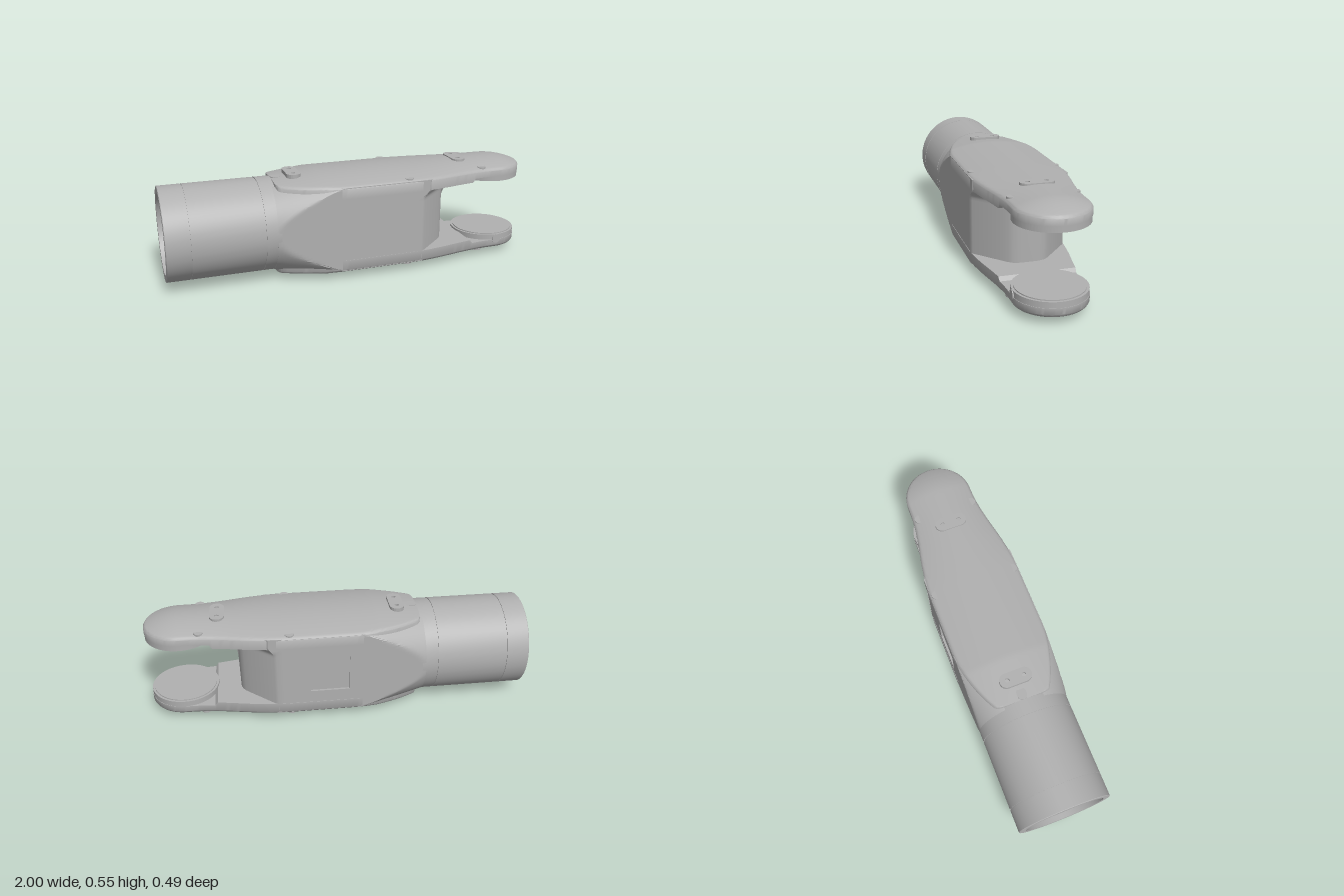
import * as THREE from 'three';
import { toCreasedNormals } from 'three/addons/utils/BufferGeometryUtils.js';

const MID = 0.2725;   // height of the long axis
const TIP = 0.82;     // centre of the rounded arm ends
const HALF = 0.247;   // half width of the housing

const grey = new THREE.MeshStandardMaterial({ color: 0xb0b0b0 });
grey.name = 'metalGrey';

function part(name, geometry, parent, x = 0, y = 0, z = 0) {
  const mesh = new THREE.Mesh(geometry, grey);
  mesh.name = name;
  mesh.position.set(x, y, z);
  parent.add(mesh);
  return mesh;
}

// Skin over closed loops that follow each other along +x, with end caps
function loft(loops) {
  const n = loops[0].length, pos = loops.flat(2), index = [];
  for (let k = 0; k < loops.length - 1; k++) {
    for (let i = 0; i < n; i++) {
      const j = (i + 1) % n;
      const a = k * n + i, b = a + n, d = k * n + j, c = d + n;
      index.push(a, b, c, a, c, d);
    }
  }
  [0, loops.length - 1].forEach((k, end) => {
    const centre = pos.length / 3;
    for (let c = 0; c < 3; c++) pos.push(loops[k].reduce((s, p) => s + p[c], 0) / n);
    for (let i = 0; i < n; i++) {
      const a = k * n + i, b = k * n + (i + 1) % n;
      index.push(centre, end ? b : a, end ? a : b);
    }
  });
  const g = new THREE.BufferGeometry();
  g.setAttribute('position', new THREE.Float32BufferAttribute(pos, 3));
  g.setIndex(index);
  return toCreasedNormals(g, 0.5);
}

// Plate with rounded corners (w along x, h along z), standing up along +y, with round holes
function plate(w, h, r, depth, holes = []) {
  const s = new THREE.Shape();
  const x = w / 2 - r, y = h / 2 - r;
  s.absarc(x, y, r, 0, Math.PI / 2);
  s.absarc(-x, y, r, Math.PI / 2, Math.PI);
  s.absarc(-x, -y, r, Math.PI, Math.PI * 1.5);
  s.absarc(x, -y, r, Math.PI * 1.5, Math.PI * 2);
  for (const [hy, hr] of holes) {
    const hole = new THREE.Path();
    hole.absarc(0, hy, hr, 0, Math.PI * 2, true);
    s.holes.push(hole);
  }
  const g = new THREE.ExtrudeGeometry(s, { depth, bevelEnabled: false, curveSegments: 24 });
  g.rotateX(-Math.PI / 2);
  return toCreasedNormals(g, 0.5);
}

// Round joint barrel with seam grooves, recessed end and centre bore
function barrelGeometry() {
  const r = 0.246;
  const profile = [[0, -0.85], [0.08, -0.85], [0.08, -0.97], [0.21, -0.97], [0.21, -1], [r - 0.003, -1], [r, -0.997]];
  for (const x of [-0.88, -0.51]) {
    profile.push([r, x - 0.003], [r - 0.004, x - 0.003], [r - 0.004, x + 0.003], [r, x + 0.003]);
  }
  profile.push([r, -0.43], [0, -0.43]);
  const g = new THREE.LatheGeometry(profile.map(p => new THREE.Vector2(...p)), 72);
  g.rotateZ(-Math.PI / 2);
  return toCreasedNormals(g, 0.5);
}

// Housing: a cone trimmed by flat sides, then chamfered toward the fork
function housingGeometry() {
  const side = HALF - 0.002, stations = [];
  for (let i = 0; i <= 20; i++) {
    const x = -0.45 + 0.35 * i / 20;
    stations.push([x, side, side, 0.246 + 0.255 * (x + 0.45)]);
  }
  stations.push([-0.1, side, side - 0.012, 1], [0.3, side, side - 0.012, 1]);
  for (const [x, w] of [[0.3, side], [0.33, side], [0.345, 0.238], [0.47, 0.125], [0.497, 0.1], [0.512, 0.08], [0.52, 0.055]]) {
    stations.push([x, w, w, 1]);
  }
  const rows = 48;
  return loft(stations.map(([x, front, back, r]) => {
    const a = [], b = [];
    for (let i = 0; i <= rows; i++) {
      const y = Math.min(0.225, r) * Math.sin((i / rows - 0.5) * Math.PI);
      const round = Math.sqrt(Math.max(0, r * r - y * y));
      // soft flare where the fork wall meets the upper arm
      const f = x > 0.34 ? 0.035 * Math.min(1, Math.max(0, (y - 0.125) / 0.045)) ** 2 : 0;
      const px = x + 0.7 * f;
      a.push([px, y, Math.min(front + f, round, side)]);
      b.unshift([px, y, -Math.min(back + f, round, side)]);
    }
    return [...a, ...b];
  }));
}

// Height of the crowned arm surface above the axis
function crown(x, z, w) {
  const tip = x > TIP;
  const d = tip ? Math.hypot(x - TIP, z) : Math.abs(z);
  const edge = tip ? 0.18 : w;
  const scale = x < 0.3 ? HALF : edge;
  const fillet = Math.max(0, d - edge + 0.012) / 0.012;
  const slope = 0.02 * Math.max(0, (-0.2 - x) / 0.23);
  return 0.2675 - 0.04 * (d / scale) ** 2 - slope - 0.01 * fillet ** 2;
}

// Long crowned arm with a round tip
function armGeometry() {
  const outline = new THREE.SplineCurve([
    [-0.43, 0.09], [-0.424, 0.13], [-0.4, 0.155], [-0.3, 0.2], [-0.18, 0.235], [-0.08, HALF], [0.1, HALF],
    [0.3, HALF], [0.45, 0.229], [0.6, 0.2], [0.72, 0.183], [TIP, 0.18],
  ].map(p => new THREE.Vector2(...p))).getPoints(88).map(p => [p.x, Math.min(p.y, HALF)]);
  for (let i = 1; i <= 24; i++) {
    const t = i / 24 * Math.PI / 2;
    outline.push([TIP + 0.18 * Math.sin(t), Math.max(0.001, 0.18 * Math.cos(t))]);
  }
  return loft(outline.map(([x, w]) => {
    const loop = [], n = 32;
    for (let i = 0; i <= n; i++) {
      const z = w * Math.sin((0.5 - i / n) * Math.PI);
      loop.push([x, crown(x, z, w), z]);
    }
    const under = x < 0.65 ? 0.1675 : 0.187;
    loop.push([x, under, -w], [x, under, w]);
    return loop;
  }));
}

// Arm with its bosses and screws
function buildArm(name, parent) {
  const arm = new THREE.Group();
  arm.name = name;
  parent.add(arm);
  part('armShell', armGeometry(), arm);
  const boss = plate(0.075, 0.17, 0.037, 0.03, [[0.045, 0.011], [-0.045, 0.011]]);
  for (const x of [-0.317, 0.62]) part('boss', boss, arm, x, 0.2425, 0);
  part('endSlot', plate(0.06, 0.05, 0.024, 0.03), arm, -0.4, 0.222, 0);
  const screw = new THREE.CylinderGeometry(0.024, 0.024, 0.03, 24);
  for (const s of [-1, 1]) {
    part('screw', screw, arm, 0.26, 0.223, s * 0.214);
    part('screw', screw, arm, 0.713, 0.227, s * 0.15);
  }
  return arm;
}

export function createModel() {
  const model = new THREE.Group();
  model.name = 'robotArmLink';
  const link = new THREE.Group();
  link.name = 'link';
  link.position.y = MID;
  model.add(link);

  part('barrel', barrelGeometry(), link, 0, 0.002, 0);
  part('housing', housingGeometry(), link);

  // Back side panel with a shallow square pocket
  const panel = new THREE.Shape([[-0.1, -0.222], [0.3, -0.222], [0.3, 0.222], [-0.1, 0.222]].map(p => new THREE.Vector2(...p)));
  panel.holes.push(new THREE.Path([[-0.045, -0.1], [-0.045, 0.1], [0.16, 0.1], [0.16, -0.1]].map(p => new THREE.Vector2(...p))));
  part('backPanel', new THREE.ExtrudeGeometry(panel, { depth: 0.013, bevelEnabled: false }), link, 0, 0, -HALF + 0.002);

  // Upper arm carries an open bearing ring
  const upper = buildArm('upperArm', link);
  part('bearingRing', plate(0.356, 0.356, 0.1779, 0.035, [[0, 0.11]]), upper, TIP, 0.1575, 0);

  // Lower arm is the same shape turned over, with a closed pad
  const lower = buildArm('lowerArm', link);
  lower.rotation.x = Math.PI;
  part('padRim', new THREE.CylinderGeometry(0.178, 0.178, 0.035, 64), lower, TIP, 0.175, 0);
  part('pad', new THREE.CylinderGeometry(0.166, 0.166, 0.02, 64), lower, TIP, 0.1625, 0);
  const clip = new THREE.CylinderGeometry(0.025, 0.025, 0.02, 24);
  clip.rotateX(Math.PI / 2);
  part('padClip', clip, lower, TIP, 0.183, -0.172);

  return model;
}
